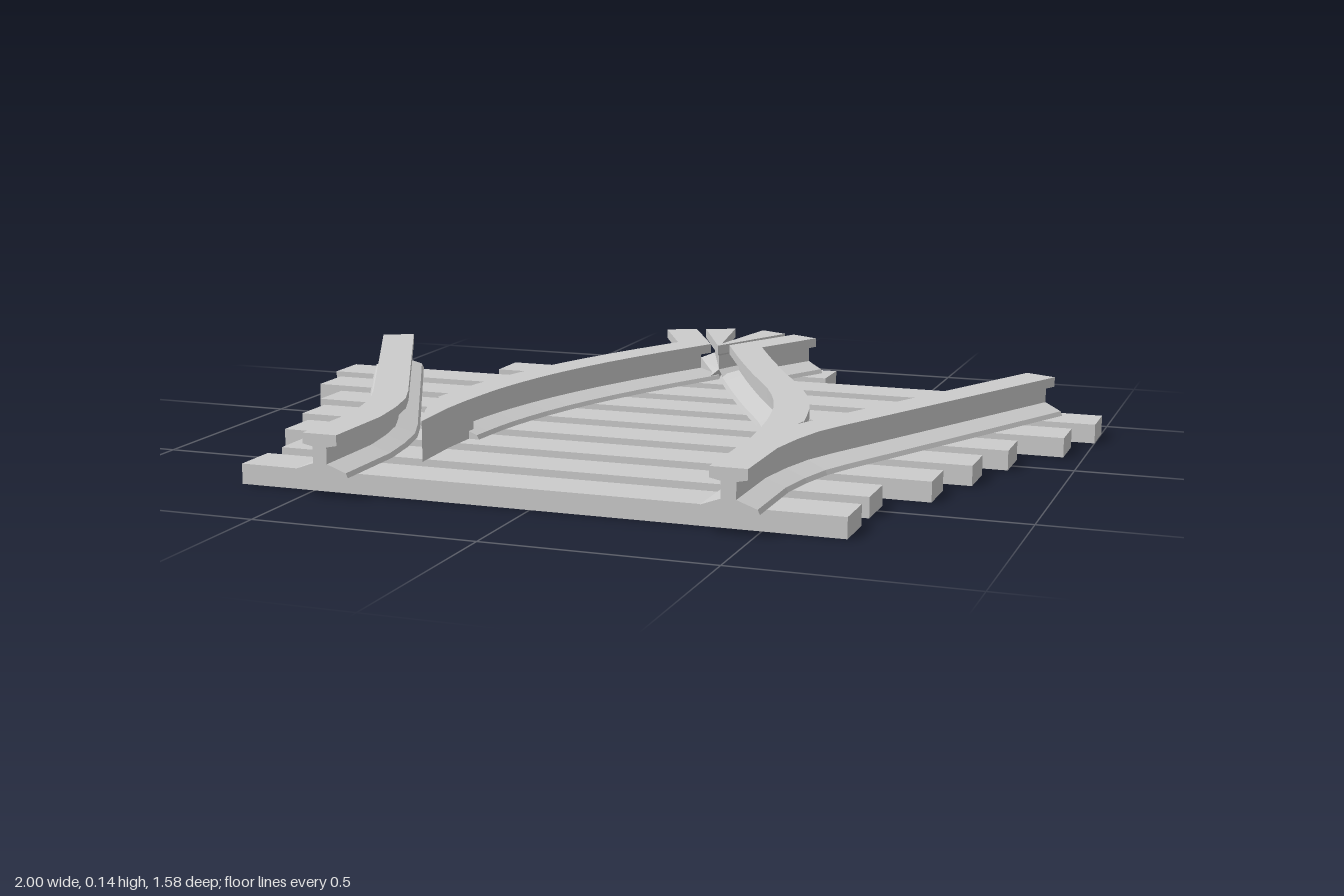
import * as THREE from 'three';

const material = new THREE.MeshStandardMaterial({ color: 0xcccccc, flatShading: true, side: THREE.DoubleSide });
const BASE = 0.05, TOP = 0.14;

// Rail cross-section (sideways, up): sloped foot, thin web, flat head
const half = [[0.065, BASE], [0.06, 0.06], [0.016, 0.076], [0.016, 0.112], [0.04, 0.117], [0.04, TOP]];
const profile = [...half, ...half.map(([u, y]) => [-u, y]).reverse()].map(p => new THREE.Vector2(...p));

// Sweeps the rail section along [x, z] points with mitred corners and closed ends
function railGeometry(points, limit = v => v) {
  const path = points.map(([x, z]) => new THREE.Vector2(x, z));
  const n = profile.length, positions = [], index = [];
  path.forEach((p, i) => {
    const before = p.clone().sub(path[Math.max(i - 1, 0)]).normalize();
    const after = path[Math.min(i + 1, path.length - 1)].clone().sub(p).normalize();
    const dir = before.clone().add(after).normalize();
    const stretch = 1 / dir.dot(i ? before : after);
    for (const { x: u, y } of profile) {
      positions.push(limit(p.x - dir.y * u * stretch), y, p.y + dir.x * u * stretch);
    }
  });
  const last = (path.length - 1) * n;
  for (let r = 0; r < last; r += n) {
    for (let k = 0; k < n; k++) {
      const a = r + k, b = r + (k + 1) % n;
      index.push(a, a + n, b + n, a, b + n, b);
    }
  }
  for (const [a, b, c] of THREE.ShapeUtils.triangulateShape(profile, [])) {
    index.push(a, b, c, last + a, last + c, last + b);
  }
  const geometry = new THREE.BufferGeometry();
  geometry.setAttribute('position', new THREE.Float32BufferAttribute(positions, 3));
  geometry.setIndex(index);
  const flat = geometry.toNonIndexed();
  flat.computeVertexNormals();
  return flat;
}

// Smooth curve through [x, z] points, returned as a polyline
function smooth(points, count) {
  const curve = new THREE.SplineCurve(points.map(p => new THREE.Vector2(...p)));
  return curve.getPoints(count).map(p => [p.x, p.y]);
}

// Solid block from an [x, z] outline, as tall as a rail
function blockGeometry(outline) {
  const shape = new THREE.Shape(outline.map(([x, z]) => new THREE.Vector2(x, -z)));
  return new THREE.ExtrudeGeometry(shape, { depth: TOP - BASE, bevelEnabled: false })
    .rotateX(-Math.PI / 2).translate(0, BASE, 0);
}

// Box without an underside
function openBox(w, h, d) {
  const box = new THREE.BoxGeometry(w, h, d);
  const index = Array.from(box.index.array);
  index.splice(18, 6);
  box.setIndex(index);
  box.clearGroups();
  return box;
}

export function createModel() {
  const model = new THREE.Group();
  model.name = 'railSwitch';
  const add = (name, geometry) => {
    const mesh = new THREE.Mesh(geometry, material);
    mesh.name = name;
    model.add(mesh);
    return mesh;
  };

  // Hollow sleepers, front to back
  [0.675, 0.675, 0.765, 0.815, 0.86, 0.955, 1, 0.605, 0.25].forEach((length, i) => {
    add('sleeper' + (i + 1), openBox(length * 2, 0.045, 0.11)).position.set(0, 0.0225, 0.683 - i * 0.1727);
  });

  // Outer rails and the crossing vee, mirrored
  for (const [side, s] of [['left', 1], ['right', -1]]) {
    const outer = [[0.45, 0.8], [0.45, 0.6], [0.465, 0.5], [0.487, 0.41], [0.52, 0.33], [0.855, -0.38]];
    add(side + 'OuterRail', railGeometry(outer.map(([x, z]) => [x * s, z])));
    const vee = [[-0.037, -0.52], [0.075, -0.757]];
    add(side + 'CrossingRail', railGeometry(vee.map(([x, z]) => [x * s, z]), x => s * Math.max(s * x, 0)));
  }

  // Inner rails, each kinking outward into a wing rail at the back
  const closed = [[0.43, 0.34], [0.395, 0.17], [0.33, 0], [0.235, -0.18], [0.145, -0.36], [0.07, -0.52]];
  add('leftInnerRail', railGeometry([...smooth(closed, 12), [0.172, -0.717]]));
  const open = [[-0.348, 0.36], [-0.338, 0.24], [-0.318, 0.12], [-0.28, -0.03], [-0.22, -0.2], [-0.145, -0.37], [-0.07, -0.52]];
  add('rightInnerRail', railGeometry([...smooth(open, 12), [-0.172, -0.717]]));

  // Tapered switch blades: left one closed against its rail, right one standing open
  add('leftBlade', blockGeometry([[0.388, 0.33], [0.402, 0.44], [0.412, 0.56], [0.422, 0.64], [0.447, 0.6], [0.452, 0.43], [0.468, 0.33]]));
  add('rightBlade', blockGeometry([[-0.386, 0.34], [-0.375, 0.42], [-0.35, 0.5], [-0.305, 0.61], [-0.312, 0.46], [-0.308, 0.34]]));
  return model;
}
